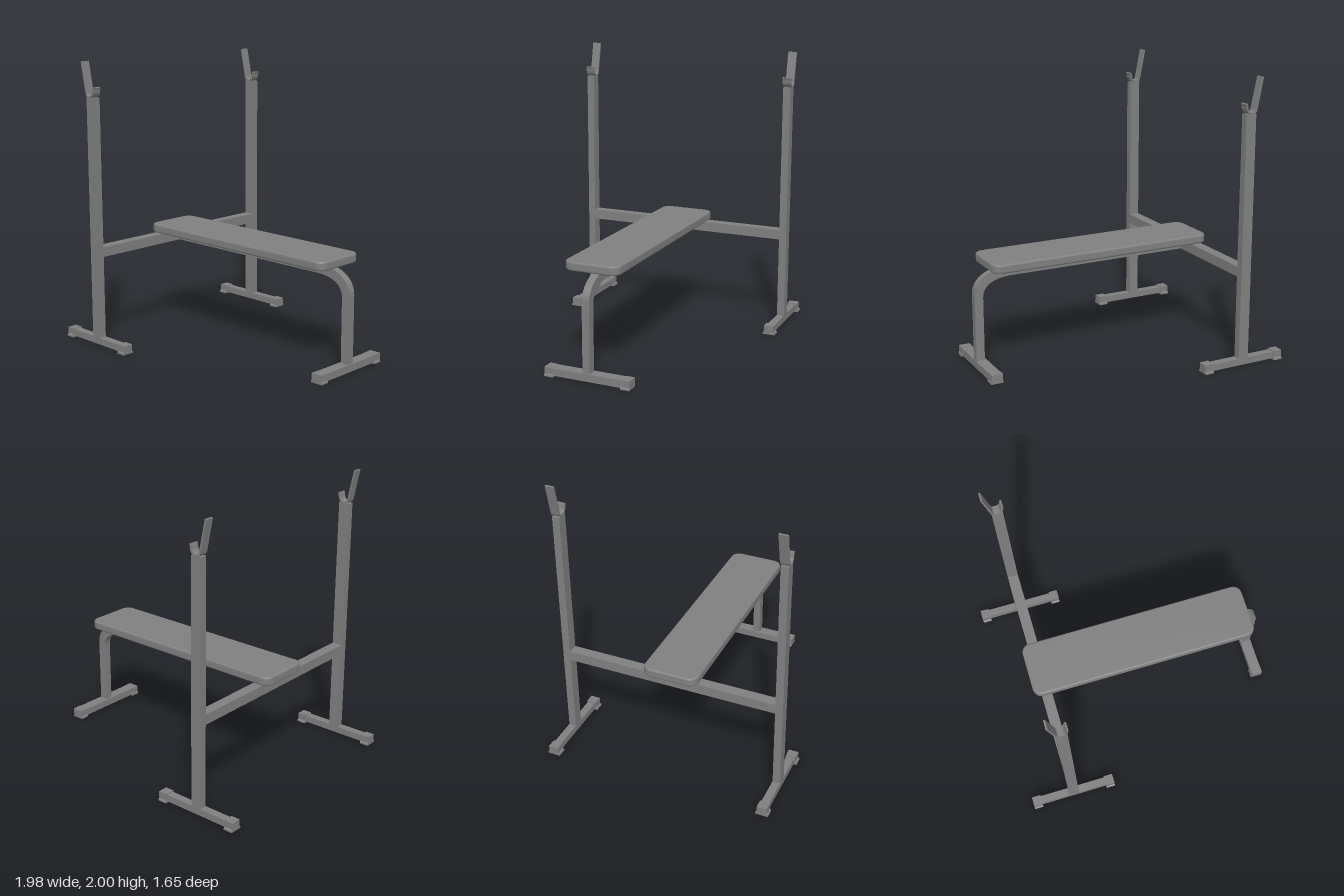
import * as THREE from 'three';

const darkGrey = new THREE.MeshStandardMaterial({ color: 0x808080 });

function add(parent, name, geometry, x = 0, y = 0, z = 0) {
  const mesh = new THREE.Mesh(geometry, darkGrey);
  mesh.name = name;
  mesh.position.set(x, y, z);
  parent.add(mesh);
  return mesh;
}

// Box given by its min and max corners
function bar(parent, name, [x0, x1], [y0, y1], [z0, z1]) {
  return add(parent, name, new THREE.BoxGeometry(x1 - x0, y1 - y0, z1 - z0),
    (x0 + x1) / 2, (y0 + y1) / 2, (z0 + z1) / 2);
}

// Side profile in x/y, extruded to a width centred on z = 0
function plate(shape, width, curveSegments = 12) {
  return new THREE.ExtrudeGeometry(shape, { depth: width, bevelEnabled: false, curveSegments })
    .translate(0, 0, -width / 2);
}

// Floor tube along x with a flanged cap on each end
function foot(name, length, tubeWidth, tubeTop, capWidth) {
  const g = new THREE.Group();
  g.name = name;
  const h = length / 2;
  bar(g, 'footTube', [-h + 0.01, h - 0.01], [0.01, tubeTop], [-tubeWidth / 2, tubeWidth / 2]);
  // Cap profile: flange flares out towards the floor
  const w = capWidth / 2;
  const cap = new THREE.Shape([
    [-0.045, 0], [0.045, 0], [0.044, 0.012], [w, 0.018], [w, 0.064],
    [-w, 0.064], [-w, 0.018], [-0.044, 0.012],
  ].map(([x, y]) => new THREE.Vector2(x, y)));
  for (const s of [-1, 1]) {
    add(g, 'footCap', plate(cap, 0.065).rotateY(Math.PI / 2), s * (h - 0.0325));
  }
  return g;
}

// Bent strip that cradles the bar: tall back, flat seat, short curled lip
function hookGeometry() {
  const path = new THREE.CurvePath();
  const v = (x, y) => new THREE.Vector2(x, y);
  path.add(new THREE.LineCurve(v(-0.757, 1.999), v(-0.714, 1.79)));
  path.add(new THREE.QuadraticBezierCurve(v(-0.714, 1.79), v(-0.709, 1.763), v(-0.69, 1.763)));
  path.add(new THREE.LineCurve(v(-0.69, 1.763), v(-0.668, 1.763)));
  path.add(new THREE.QuadraticBezierCurve(v(-0.668, 1.763), v(-0.642, 1.775), v(-0.642, 1.81)));
  path.add(new THREE.LineCurve(v(-0.642, 1.81), v(-0.636, 1.828)));
  const pts = path.getPoints(5);
  const half = 0.006;
  const offset = (s) => pts.map((p, i) => {
    const t = pts[Math.min(i + 1, pts.length - 1)].clone().sub(pts[Math.max(i - 1, 0)]).normalize();
    return v(p.x - t.y * half * s, p.y + t.x * half * s);
  });
  return plate(new THREE.Shape([...offset(-1), ...offset(1).reverse()]), 0.062);
}

// Rounded rectangle with softened top and bottom edges
function padGeometry(length, width, height, radius, bevel) {
  const a = length / 2 - bevel, b = width / 2 - bevel, r = radius - bevel;
  const s = new THREE.Shape();
  s.moveTo(-a + r, -b);
  s.lineTo(a - r, -b);
  s.absarc(a - r, -b + r, r, -Math.PI / 2, 0);
  s.absarc(a - r, b - r, r, 0, Math.PI / 2);
  s.absarc(-a + r, b - r, r, Math.PI / 2, Math.PI);
  s.absarc(-a + r, -b + r, r, Math.PI, Math.PI * 1.5);
  return new THREE.ExtrudeGeometry(s, {
    depth: height - 2 * bevel, bevelThickness: bevel, bevelSize: bevel,
    bevelSegments: 4, curveSegments: 8,
  }).translate(0, 0, -height / 2 + bevel).rotateX(-Math.PI / 2);
}

export function createModel() {
  const model = new THREE.Group();
  model.name = 'weightBench';

  // Two rack posts with feet and bar hooks
  for (const s of [-1, 1]) {
    const post = new THREE.Group();
    post.name = s > 0 ? 'leftRackPost' : 'rightRackPost';
    post.position.z = s * 0.78;
    bar(post, 'upright', [-0.715, -0.64], [0.05, 1.757], [-0.0265, 0.0265]);
    add(post, 'barHook', hookGeometry());
    const f = foot('rackFoot', 0.625, 0.055, 0.058, 0.07);
    f.position.x = -0.678;
    post.add(f);
    model.add(post);
  }

  // Crossbar between the posts
  bar(model, 'crossbar', [-0.715, -0.64], [0.64, 0.71], [-0.755, 0.755]);

  // Spine under the pad, bending down into the front leg
  const spine = new THREE.Shape();
  spine.moveTo(-0.65, 0.64);
  spine.lineTo(0.7, 0.64);
  spine.bezierCurveTo(0.83, 0.64, 0.915, 0.6, 0.915, 0.51);
  spine.lineTo(0.915, 0.05);
  spine.lineTo(0.975, 0.05);
  spine.lineTo(0.975, 0.53);
  spine.bezierCurveTo(0.975, 0.65, 0.85, 0.708, 0.7, 0.708);
  spine.lineTo(-0.65, 0.708);
  add(model, 'spineAndLeg', plate(spine, 0.053), 0, 0, 0.003);

  // Front foot, lying across the bench
  const front = foot('frontFoot', 0.617, 0.078, 0.062, 0.08);
  front.rotation.y = Math.PI / 2;
  front.position.x = 0.941;
  model.add(front);

  // Padded seat
  add(model, 'pad', padGeometry(1.657, 0.395, 0.064, 0.065, 0.014), 0.0625, 0.743, 0.013);

  return model;
}
